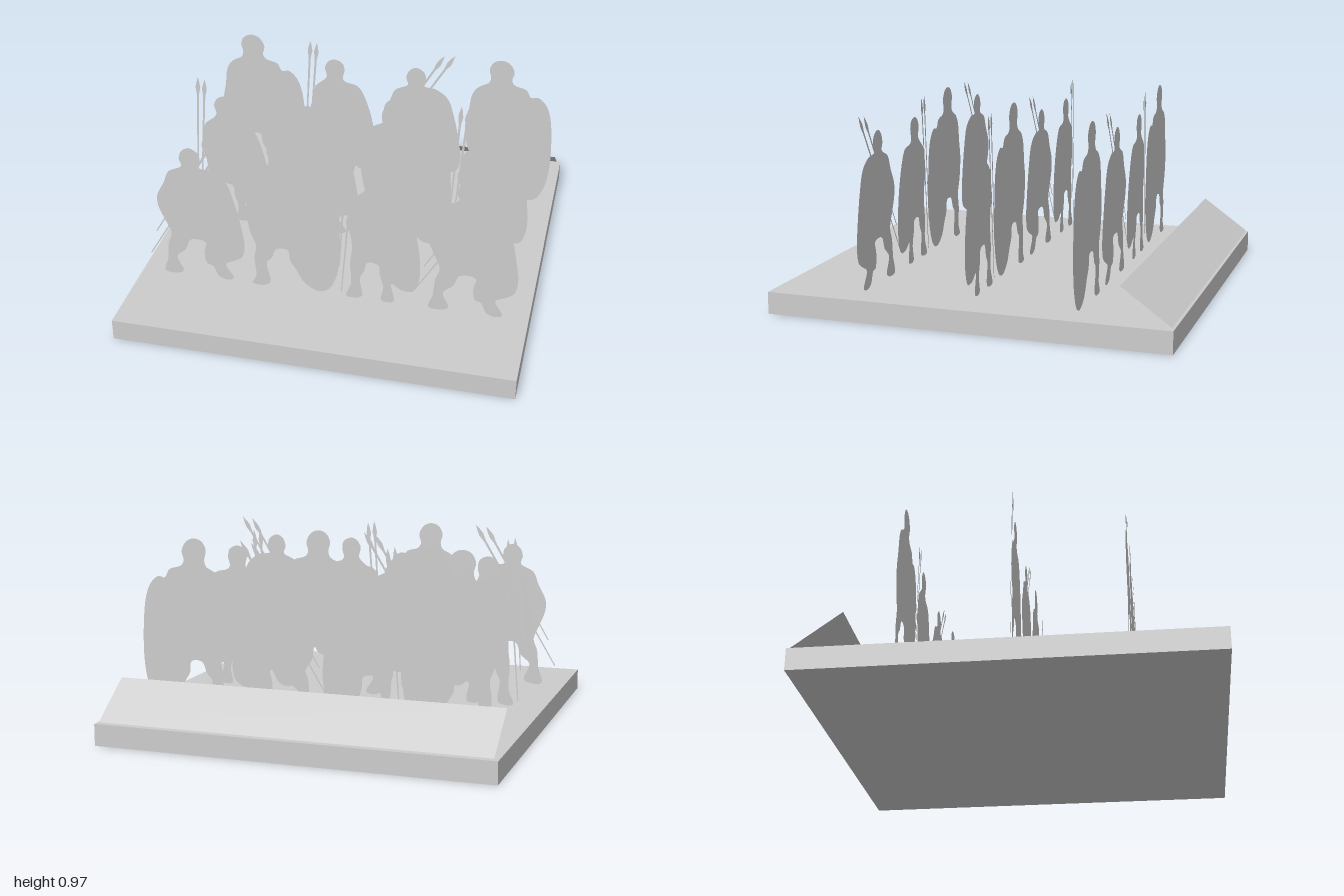
import * as THREE from 'three';

// Silhouettes in hundredths of a unit: x from the column centre, y from the ground
const SHIELD_BEARER = [
  [-1.6, 97.3], [2.7, 95.7], [5.3, 90.9], [4.3, 86.1], [5.9, 83.4], [12.3, 81.3], [15, 77], [18.7, 77.5],
  [23, 73.8], [25.7, 67.4], [27.3, 56.7], [27.8, 35.3], [25.7, 21.9], [21.4, 13.9], [16, 12.3], [9.1, 16.6],
  [5.3, 23.5], [2.1, 28.9], [1.1, 34.8], [-4.8, 34.8], [-7.5, 28.9], [-10.2, 25.7], [-8.6, 13.9], [-11.2, 11.5],
  [-18, 11.8], [-16, 16.6], [-16.6, 27.3], [-15.5, 35.3], [-18.2, 43.3], [-19.8, 55.6], [-18.2, 64.7],
  [-16.6, 75.4], [-13.4, 80.2], [-8, 83.4], [-7, 86.6], [-8, 91.4], [-5.9, 95.7],
];
const SPEAR_BEARER = [
  [-1, 87.5], [3.5, 85.5], [4.5, 81], [3.5, 76.5], [5, 74.5], [12, 72.5], [16, 66], [20, 53], [22, 40],
  [22, 28], [19, 20], [13, 20], [8, 23], [9.5, 13], [8, 11.5], [3, 12], [4, 20], [2, 28], [1.5, 33], [-4, 34],
  [-6, 28], [-8, 24], [-7, 13], [-10, 11.5], [-15, 12], [-12.5, 20], [-13, 32], [-12, 42], [-13, 50],
  [-15, 56], [-13.5, 62], [-12, 70], [-7, 74.5], [-5.5, 77], [-6.5, 82], [-4.5, 86],
];
const JAVELIN_BEARER = [
  [-1.6, 87.7], [3, 85], [3.8, 80.5], [3, 77], [9, 76], [16, 71], [20, 60], [23, 46], [24.5, 34], [23, 27],
  [19, 24], [14, 21], [18, 13], [15, 11.5], [10, 13], [7, 19], [4, 20], [3, 27], [4, 33], [-4, 33.5], [-7, 27],
  [-12, 22], [-9, 13.5], [-12, 11.5], [-19, 12], [-17, 20], [-16, 30], [-14, 36], [-17, 44], [-20, 52],
  [-20, 58], [-16, 66], [-13, 73], [-6, 77], [-7, 81], [-5.5, 85.5],
];

// Flat cut-out with a softly curved outline
function cutout(points) {
  const curve = new THREE.CatmullRomCurve3(
    points.map(([x, y]) => new THREE.Vector3(x / 100, y / 100, 0)), true, 'centripetal');
  const outline = curve.getPoints(points.length * 4).slice(0, -1);
  return new THREE.ShapeGeometry(new THREE.Shape(outline.map((p) => new THREE.Vector2(p.x, p.y))));
}

// Flat spear from butt to tip with a leaf-shaped blade
function spear(x0, y0, x1, y1) {
  const butt = new THREE.Vector2(x0, y0).divideScalar(100);
  const dir = new THREE.Vector2(x1, y1).divideScalar(100).sub(butt);
  const len = dir.length();
  dir.normalize();
  const half = [[0, 0.003], [len - 0.1, 0.006], [len - 0.06, 0.013], [len - 0.03, 0.008]];
  const profile = [...half, [len, 0], ...half.map(([d, w]) => [d, -w]).reverse()];
  return new THREE.ShapeGeometry(new THREE.Shape(profile.map(([d, w]) =>
    new THREE.Vector2(butt.x + dir.x * d + dir.y * w, butt.y + dir.y * d - dir.x * w))));
}

export function createModel() {
  const model = new THREE.Group();
  const grey = new THREE.MeshStandardMaterial({ color: 0xcccccc, side: THREE.DoubleSide });
  grey.name = 'light grey';

  const add = (parent, name, geometry) => {
    const mesh = new THREE.Mesh(geometry, grey);
    mesh.name = name;
    parent.add(mesh);
    return mesh;
  };

  // Square base
  add(model, 'base', new THREE.BoxGeometry(2, 0.11, 2)).position.y = 0.055;

  // Sloping label plate, low at the back and high towards the figures
  const [back, front, low, high] = [-0.99, -0.75, 0.118, 0.29];
  const plate = add(model, 'slopingPlate',
    new THREE.PlaneGeometry(1.96, Math.hypot(front - back, high - low)).rotateX(-Math.PI / 2));
  plate.rotation.x = -Math.atan2(high - low, front - back);
  plate.position.set(0, (low + high) / 2, (back + front) / 2);

  // The three kinds of figure, shared by every rank
  const kinds = {
    S: { name: 'shieldBearer', body: cutout(SHIELD_BEARER), spears: [] },
    P: {
      name: 'spearBearer', body: cutout(SPEAR_BEARER),
      spears: [spear(-18.5, 30, -14.4, 97.3), spear(-17.5, 14, -10.8, 96.5)],
    },
    J: {
      name: 'javelinBearer', body: cutout(JAVELIN_BEARER),
      spears: [spear(-26, 22, 19.3, 97.3), spear(-22, 36, 13.5, 96.5)],
    },
  };

  // Four files of three figures, each listed from front to back
  ['JPS', 'SJP', 'PSJ', 'JPS'].forEach((file, column) => {
    [...file].forEach((key, row) => {
      const kind = kinds[key];
      const figure = new THREE.Group();
      figure.name = kind.name;
      add(figure, 'body', kind.body);
      kind.spears.forEach((geometry) => add(figure, 'spear', geometry));
      figure.position.set(-0.69 + 0.46 * column, 0, 0.55 - 0.54 * row);
      model.add(figure);
    });
  });
  return model;
}
